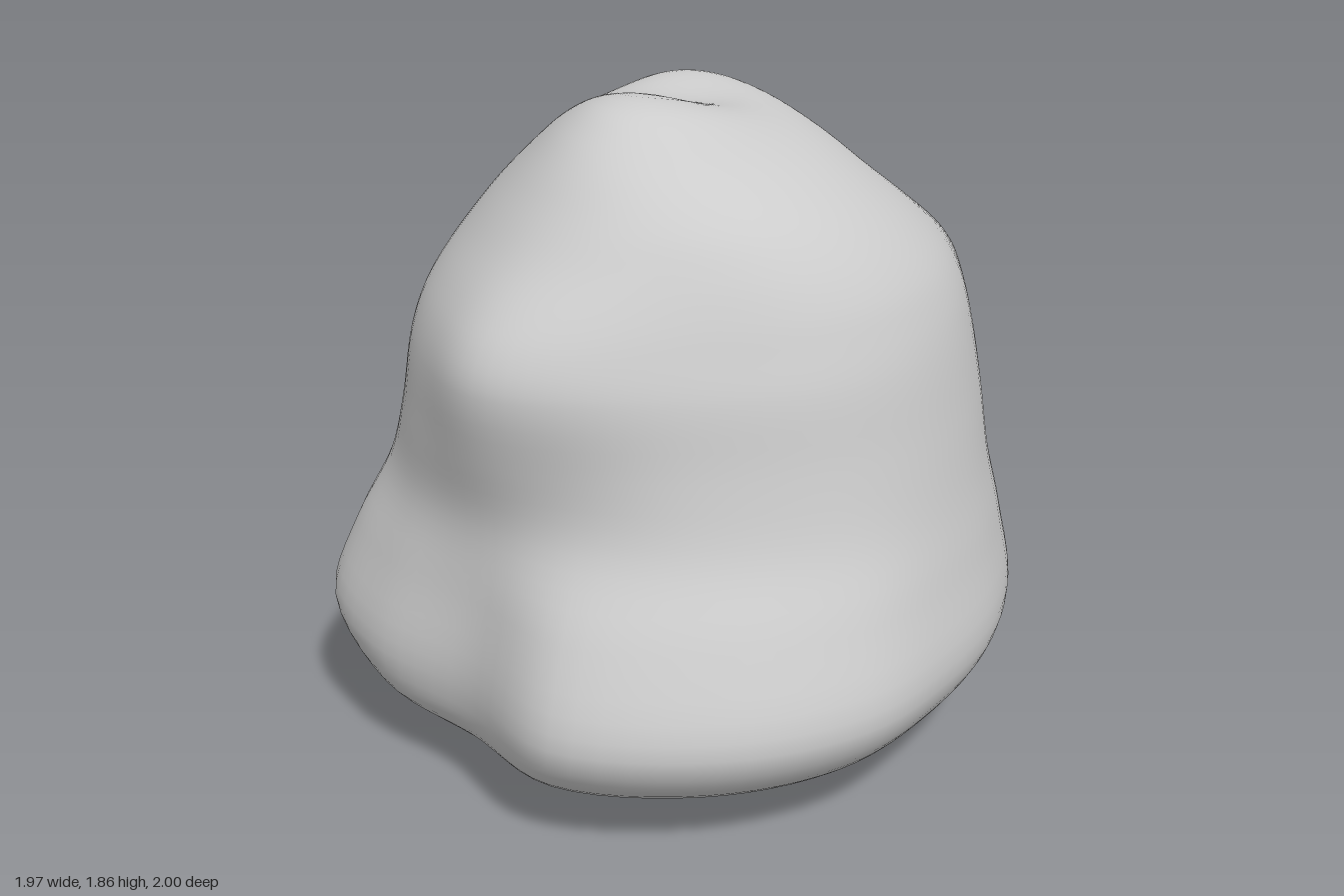
import * as THREE from 'three';
import { mergeVertices } from 'three/addons/utils/BufferGeometryUtils.js';

// Closed outlines in plan (x, z), running from +x towards +z
const FOOT = [[.96, 0], [.96, .36], [.77, .73], [.4, .99], [0, .91], [-.38, .92], [-.73, .79], [-.9, .37],
  [-.98, 0], [-.91, -.37], [-.7, -.67], [-.42, -.98], [0, -.97], [.37, -.92], [.68, -.7], [.88, -.36]];
const WAIST = [[1, 0], [.92, .35], [.68, .68], [.38, .92], [.02, 1], [-.36, .93], [-.69, .71], [-.93, .36],
  [-1, 0], [-.94, -.36], [-.72, -.68], [-.38, -.91], [.05, -.99], [.4, -.95], [.72, -.73], [.93, -.39]];

// Levels: y, xMin, xMax, zMin, zMax
const LEVELS = [
  [.025, -.76, .3, -.4, .4], [.09, -.9, .7, -.64, .77], [.2, -.97, .92, -.9, .95],
  [.35, -1, 1.01, -1, 1], [.6, -.93, .95, -.96, .93], [.8, -.86, .88, -.89, .86],
  [1, -.81, .83, -.865, .845], [1.2, -.77, .79, -.83, .815], [1.31, -.735, .755, -.8, .775],
  [1.4, -.695, .715, -.76, .725], [1.5, -.64, .645, -.695, .655], [1.6, -.565, .545, -.605, .58],
  [1.7, -.46, .4, -.51, .485], [1.77, -.36, .25, -.41, .385], [1.81, -.24, .13, -.27, .29]];

// Soft lumps and hollows: centre, offset, radius
const LUMPS = [
  [[.08, 1.27, .8], [0, .01, .095], .27],       // front lump
  [[.27, 1.24, -.8], [.015, .02, -.085], .22],  // back lump
  [[-.3, 1.46, -.58], [-.01, .02, -.03], .2],   // back shoulder
  [[.3, .88, .82], [-.02, 0, -.03], .25],       // front hollow
  [[-.72, .12, .72], [.03, .05, -.03], .32],    // lifted front corner
  [[-.02, 1.81, .18], [0, .045, 0], .22],       // main summit
  [[-.27, 1.76, -.29], [-.01, .048, 0], .22],   // second summit
  [[-.08, 1.82, -.1], [0, -.04, 0], .18]        // saddle
].map(([c, o, r]) => ({ centre: new THREE.Vector3(...c), offset: new THREE.Vector3(...o), r }));

const closedCurve = pts =>
  new THREE.CatmullRomCurve3(pts.map(([x, z]) => new THREE.Vector3(x, 0, z)), true);

function boulderGeometry(around = 96, up = 80) {
  const foot = closedCurve(FOOT), waist = closedCurve(WAIST), step = THREE.MathUtils.smoothstep;
  const positions = [], index = [], columns = [];

  // One upright profile per angle, blending round base, foot, waist and crown outlines
  for (let j = 0; j < around; j++) {
    const t = j / around, a = t * Math.PI * 2;
    const f = foot.getPoint(t), w = waist.getPoint(t);
    const base = new THREE.Vector3(Math.cos(a), 0, Math.sin(a));
    const crown = new THREE.Vector3(Math.cos(a), 0, Math.sin(a + .2));
    const pts = LEVELS.map(([y, x0, x1, z0, z1]) => {
      const p = base.clone().lerp(f, step(y, -.1, .3)).lerp(w, step(y, .4, 1)).lerp(crown, step(y, 1.3, 1.8));
      return new THREE.Vector3((x0 + x1) / 2 + p.x * (x1 - x0) / 2, y, (z0 + z1) / 2 + p.z * (z1 - z0) / 2);
    });
    columns.push(new THREE.CatmullRomCurve3(
      [new THREE.Vector3(-.4, 0, 0), ...pts, new THREE.Vector3(-.06, 1.825, .03)]));
  }

  for (let i = 0; i <= up; i++) {
    for (let j = 0; j < around; j++) {
      const start = columns[j].getPoint(i / up), p = start.clone();
      for (const { centre, offset, r } of LUMPS)
        p.addScaledVector(offset, Math.exp(-start.distanceToSquared(centre) / (r * r)));
      positions.push(p.x, Math.max(0, p.y), p.z);
      if (i < up) {
        const k = (j + 1) % around, r = i * around, s = r + around;
        index.push(r + j, s + j, r + k, r + k, s + j, s + k);
      }
    }
  }
  const g = new THREE.BufferGeometry();
  g.setAttribute('position', new THREE.Float32BufferAttribute(positions, 3));
  g.setIndex(index);
  const merged = mergeVertices(g, 1e-5);
  merged.computeVertexNormals();
  return merged;
}

export function createModel() {
  const group = new THREE.Group();
  const boulder = new THREE.Mesh(boulderGeometry(), new THREE.MeshStandardMaterial({ color: 0xcccccc }));
  boulder.name = 'boulder';
  group.add(boulder);
  return group;
}
